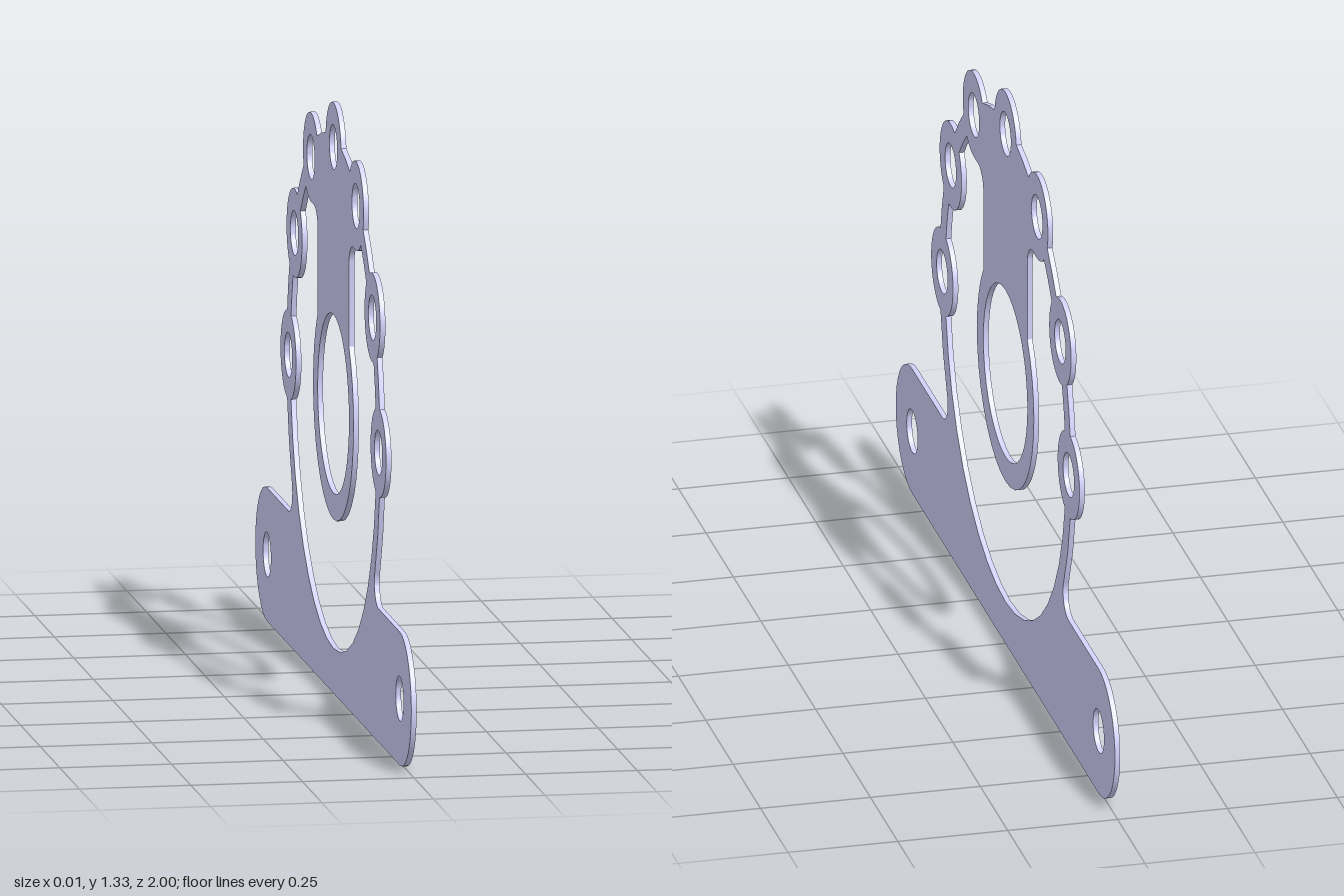
import * as THREE from 'three';
import { toCreasedNormals } from 'three/addons/utils/BufferGeometryUtils.js';

const THICK = 0.012;
const CY = 0.651;                       // height of the ring centre
const BOLT_R = 0.577, LUG_R = 0.1;      // bolt circle and lug radius
const RING_OUT = 0.6, RING_IN = 0.55;
const HUB_OUT = 0.26, HUB_IN = 0.201, WEB = 0.2;
const FOOT = 0.15, FOOT_X = 0.85, FILLET = 0.05;
const BOLT_HOLE = 0.05;
const RAD = Math.PI / 180;

// Points along an arc, angles in degrees (either direction)
function arc(cx, cy, r, a0, a1) {
  const n = Math.max(2, Math.ceil(Math.abs(a1 - a0) / 10));
  return Array.from({ length: n + 1 }, (_, i) => {
    const a = (a0 + ((a1 - a0) * i) / n) * RAD;
    return new THREE.Vector2(cx + r * Math.cos(a), cy + r * Math.sin(a));
  });
}

// Where a lug circle crosses a ring edge: angle about the ring and about the lug
function crossing(r) {
  const d = Math.acos((BOLT_R ** 2 + r ** 2 - LUG_R ** 2) / (2 * BOLT_R * r));
  const b = Math.atan2(r * Math.sin(d), r * Math.cos(d) - BOLT_R);
  return { d: d / RAD, b: b / RAD };
}

const lugCentre = (deg) => [BOLT_R * Math.cos(deg * RAD), CY + BOLT_R * Math.sin(deg * RAD)];

// Close a half contour by mirroring it across the centre line
function mirrored(half) {
  const other = half.map((p) => new THREE.Vector2(-p.x, p.y)).reverse();
  return [...half, ...other].filter((p, i, all) => p.distanceTo(all[(i + 1) % all.length]) > 1e-5);
}

// Outer edge: foot, fillet, then ring and lugs up to the top
function outerEdge() {
  const fy = 2 * FOOT + FILLET;
  const fx = Math.sqrt((RING_OUT + FILLET) ** 2 - (CY - fy) ** 2);
  const meet = Math.atan2(fy - CY, fx) / RAD;
  const { d, b } = crossing(RING_OUT);
  const pts = [...arc(FOOT_X, FOOT, FOOT, -90, 90), ...arc(fx, fy, FILLET, -90, meet - 180)];
  let from = meet;
  for (const deg of [0, 30, 60, 90]) {
    pts.push(...arc(0, CY, RING_OUT, from, deg - d));
    pts.push(...arc(...lugCentre(deg), LUG_R, deg - b, deg === 90 ? 90 : deg + b));
    from = deg + d;
  }
  return mirrored(pts);
}

// Window between ring and hub: up the ring, round the web fillet, down around the hub
function windowEdge() {
  const { d, b } = crossing(RING_IN);
  const pts = [];
  let from = -90;
  for (const deg of [0, 30, 60]) {
    pts.push(...arc(0, CY, RING_IN, from, deg - d));
    pts.push(...arc(...lugCentre(deg), LUG_R, deg - b, deg === 60 ? -90 : deg + b - 360));
    from = deg + d;
  }
  const top = lugCentre(60)[1] - LUG_R;
  pts.push(...arc(WEB + FILLET, top - FILLET, FILLET, 90, 180));
  pts.push(...arc(0, CY, HUB_OUT, Math.acos(WEB / HUB_OUT) / RAD, -90));
  return mirrored(pts);
}

export function createModel() {
  const group = new THREE.Group();
  group.name = 'mountingBracket';

  const shape = new THREE.Shape(outerEdge());
  shape.holes.push(new THREE.Path(windowEdge()));
  const drill = (x, y, r) => shape.holes.push(new THREE.Path(arc(x, y, r, 0, 360).slice(1)));

  // Hub bore, lug holes and foot holes
  drill(0, CY, HUB_IN);
  for (let deg = 0; deg <= 180; deg += 30) drill(...lugCentre(deg), BOLT_HOLE);
  for (const s of [-1, 1]) drill(s * FOOT_X, FOOT, BOLT_HOLE);

  // Plate stands in the y-z plane
  const geo = new THREE.ExtrudeGeometry(shape, { depth: THICK, bevelEnabled: false });
  geo.translate(0, 0, -THICK / 2);
  geo.rotateY(Math.PI / 2);

  const plate = new THREE.Mesh(
    toCreasedNormals(geo, 0.4),
    new THREE.MeshStandardMaterial({ color: 0xd2d2fc })
  );
  plate.name = 'bracketPlate';
  group.add(plate);
  return group;
}
